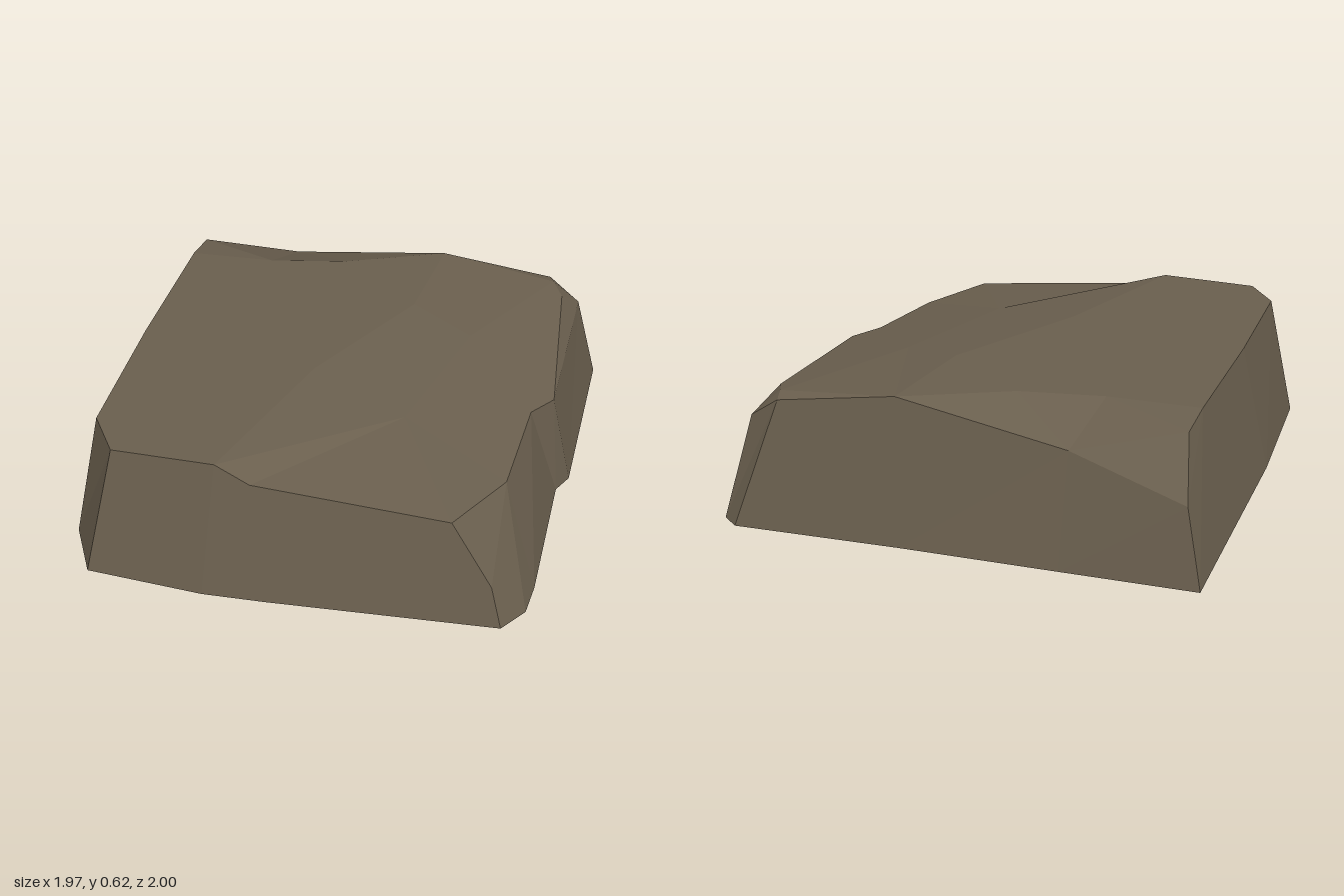
import * as THREE from 'three';

// Stations round the rock, counter-clockwise from above, starting front left:
// [base corner, rim corner, optional shoulder corner between them]
const stations = [
  [[-0.83, 0.068, 0.98], [-0.72, 0.61, 0.865]],
  [[-0.35, 0.065, 1.0], [-0.31, 0.615, 0.865]],
  [[-0.1, 0.064, 0.985], [-0.17, 0.555, 0.88]],
  [[0.81, 0.06, 0.91], [0.59, 0.48, 0.83], [0.76, 0.23, 0.875]],
  [[0.89, 0.05, 0.79], [0.59, 0.48, 0.83], [0.76, 0.23, 0.875]],
  [[0.905, 0.04, 0.64], [0.75, 0.46, 0.525]],
  [[0.915, 0.02, 0.0], [0.785, 0.48, 0.09]],
  [[0.96, 0.018, -0.09], [0.865, 0.47, -0.03]],
  [[0.983, 0.0, -0.95], [0.81, 0.525, -0.74], [0.88, 0.43, -0.86]],
  [[0.91, 0.0, -1.0], [0.76, 0.54, -0.83], [0.74, 0.525, -0.89]],
  [[0.2, 0.03, -0.985], [0.25, 0.6, -0.86]],
  [[-0.45, 0.057, -0.985], [-0.45, 0.5, -0.88]],
  [[-0.985, 0.08, -0.985], [-0.86, 0.585, -0.75], [-0.91, 0.375, -0.92]],
  [[-0.985, 0.08, -0.58], [-0.865, 0.61, -0.58]],
  [[-0.985, 0.08, 0.1], [-0.865, 0.61, 0.07]],
  [[-0.95, 0.075, 0.77], [-0.845, 0.61, 0.69]],
];

// Ridge and hollow points inside the worn top
const crown = {
  A: [-0.1, 0.615, 0.18],
  B: [0.31, 0.55, 0.33],
  C: [0.2, 0.605, -0.4],
  D: [0.47, 0.56, -0.28],
  E: [-0.17, 0.61, -0.67],
  F: [-0.5, 0.61, -0.6],
};

// Top facets: numbers are rim stations, letters are crown points
const facets = `1 2 A,16 1 A,15 16 A,2 3 B,2 B A,3 4 B,4 6 B,6 7 B,7 D B,7 8 D,8 9 D,9 10 D,10 11 D,
11 C D,B D C,A B C,11 E C,11 12 E,12 F E,12 13 F,13 14 F,14 15 F,F 15 A,F A E,E A C`;

// Flat-shaded mesh from a list of corner triples, dropping collapsed ones
function facetMesh(name, triangles, material) {
  const same = (p, q) => p.every((v, i) => v === q[i]);
  const solid = triangles.filter(([a, b, c]) => !same(a, b) && !same(b, c) && !same(a, c));
  const geometry = new THREE.BufferGeometry();
  geometry.setAttribute('position', new THREE.Float32BufferAttribute(solid.flat(2), 3));
  geometry.computeVertexNormals();
  const mesh = new THREE.Mesh(geometry, material);
  mesh.name = name;
  return mesh;
}

export function createModel() {
  const stone = new THREE.MeshStandardMaterial({ color: 0x6a5f4e });
  stone.name = 'brown stone';

  const sides = [];
  const underside = [];
  const middle = [0, 0.045, 0];
  stations.forEach(([base, rim, shoulder = rim], i) => {
    const [nextBase, nextRim, nextShoulder = nextRim] = stations[(i + 1) % stations.length];
    // Main wall, then the chamfer above it
    sides.push([base, nextBase, nextShoulder], [base, nextShoulder, shoulder]);
    sides.push([shoulder, nextShoulder, nextRim], [shoulder, nextRim, rim]);
    underside.push([middle, nextBase, base]);
  });

  const top = facets.split(',').map((facet) =>
    facet.trim().split(' ').map((key) => crown[key] ?? stations[key - 1][1]));

  const rock = new THREE.Group();
  rock.name = 'rock';
  rock.add(
    facetMesh('rockSides', sides, stone),
    facetMesh('rockTop', top, stone),
    facetMesh('rockUnderside', underside, stone),
  );
  return rock;
}
